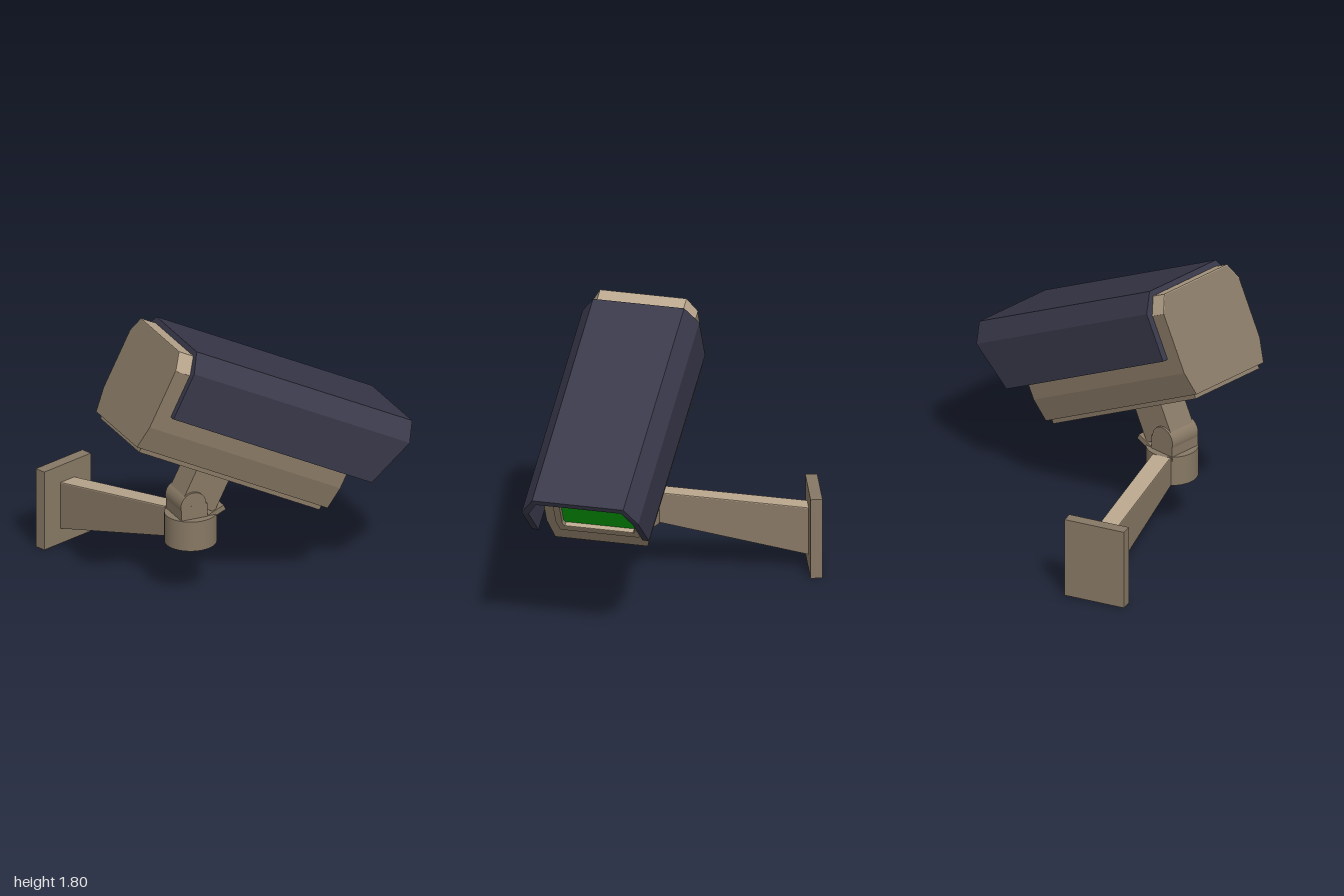
import * as THREE from 'three';

function paint(name, color) {
  const material = new THREE.MeshStandardMaterial({ color });
  material.name = name;
  return material;
}
const beige = paint('beige paint', 0x877864);
const paleBeige = paint('pale beige paint', 0xb9a68d);
const slate = paint('slate blue', 0x373749);
const green = paint('green glass', 0x049204);

function add(parent, name, geometry, material, x = 0, y = 0, z = 0) {
  const mesh = new THREE.Mesh(geometry, material);
  mesh.name = name;
  mesh.position.set(x, y, z);
  parent.add(mesh);
  return mesh;
}

// Mirrors a half outline [halfWidth, height] into a closed symmetric one
const mirrored = (half) => [
  ...half.map(([w, h]) => new THREE.Vector2(w, h)),
  ...half.slice().reverse().map(([w, h]) => new THREE.Vector2(-w, h)),
];

// Extrudes an outline along x, from x0 to x1; outline x points to -z
function extrudeX(points, x0, x1, hole) {
  const shape = new THREE.Shape(points);
  if (hole) shape.holes.push(new THREE.Path(hole));
  const g = new THREE.ExtrudeGeometry(shape, { depth: x1 - x0, bevelEnabled: false });
  g.rotateY(Math.PI / 2);
  g.translate(x0, 0, 0);
  return g;
}

// Solid or ring with a symmetric cross-section
const prism = (half, x0, x1, hole) => extrudeX(mirrored(half), x0, x1, hole && mirrored(hole));

// Folded sheet, open at the bottom
const sheet = (outer, inner, x0, x1) =>
  extrudeX([...mirrored(outer), ...mirrored(inner).reverse()], x0, x1);

// Sun shield: its side flaps are cut back at the front
function shieldGeometry() {
  const outer = [[0.378, 0.26], [0.378, 0.577], [0.295, 0.70]];
  const inner = [[0.337, 0.26], [0.337, 0.556], [0.275, 0.664]];
  const g = sheet(outer, inner, 0.11, 1.783);
  const p = g.attributes.position;
  for (let i = 0; i < p.count; i++) {
    const drop = Math.max(0, 0.577 - p.getY(i));
    if (p.getX(i) > 1) p.setX(i, p.getX(i) - drop * 0.42);
  }
  g.computeVertexNormals();
  return g;
}

const toPoints = (list) => list.map(([x, y]) => new THREE.Vector2(x, y));

export function createModel() {
  const root = new THREE.Group();
  root.name = 'securityCamera';

  // Wall bracket with a tapered arm and a pale top face
  const bracket = new THREE.Group();
  bracket.name = 'bracket';
  root.add(bracket);
  add(bracket, 'wallPlate', new THREE.BoxGeometry(0.41, 0.535, 0.075), beige, -0.42, 0.2675, -0.942);
  const armSide = [[0.91, 0.10], [0.91, 0.412], [-0.03, 0.548], [-0.15, 0.54], [-0.15, 0.36], [-0.03, 0.352]];
  const armTop = [[0.905, 0.411], [0.905, 0.418], [-0.02, 0.552], [-0.02, 0.545]];
  add(bracket, 'arm', extrudeX(toPoints(armSide), -0.48, -0.36), beige);
  add(bracket, 'armTop', extrudeX(toPoints(armTop), -0.48, -0.36), paleBeige);
  add(bracket, 'swivelBase', new THREE.CylinderGeometry(0.165, 0.165, 0.2, 40), beige, -0.417, 0.45, 0.187);

  // Camera head: local x runs forward, origin at the bottom of the rear face
  const head = new THREE.Group();
  head.name = 'cameraHead';
  head.position.set(-0.897, 1.21, 0.013);
  head.rotation.set(0, THREE.MathUtils.degToRad(-19.5), THREE.MathUtils.degToRad(-27), 'YZX');
  root.add(head);

  // Housing with front frame and recessed window
  const section = [[0.30, 0], [0.338, 0.155], [0.338, 0.55], [0.278, 0.66]];
  const opening = [[0.255, 0.085], [0.277, 0.16], [0.277, 0.53], [0.235, 0.61]];
  const pane = [[0.222, 0.122], [0.235, 0.145], [0.235, 0.51], [0.20, 0.575]];
  add(head, 'housing', prism(section, 0, 1.44), beige);
  add(head, 'frontFrame', prism(section, 1.44, 1.48, opening), beige);
  add(head, 'windowRim', prism(opening, 1.44, 1.488, pane), beige);
  add(head, 'window', prism(pane, 1.44, 1.456), green);
  add(head, 'windowSill', new THREE.BoxGeometry(0.032, 0.006, 0.44), paleBeige, 1.472, 0.125, 0);
  add(head, 'bottomPlate', new THREE.BoxGeometry(1.4, 0.03, 0.57), beige, 0.74, -0.015, 0);

  // Pale band over the rear top edge, then the shield
  const bandOuter = [[0.341, 0.551], [0.280, 0.663]];
  const bandInner = [[0.336, 0.549], [0.277, 0.657]];
  add(head, 'rearTopBand', sheet(bandOuter, bandInner, 0, 0.115), paleBeige);
  add(head, 'sunShield', shieldGeometry(), slate);

  // Tilting mount under the housing
  add(head, 'mountPlate', new THREE.BoxGeometry(0.36, 0.03, 0.28), beige, 0.73, -0.045, 0);
  add(head, 'neck', new THREE.BoxGeometry(0.25, 0.24, 0.2), beige, 0.73, -0.17, 0);
  const barrel = add(head, 'hingeBarrel', new THREE.CylinderGeometry(0.088, 0.088, 0.23, 24), beige, 0.685, -0.29, 0);
  barrel.rotation.x = Math.PI / 2;

  // Fixed half of the hinge on the swivel base
  const joint = new THREE.Group();
  joint.name = 'hingeJoint';
  joint.position.set(-0.44, 0.58, 0.175);
  joint.rotation.y = THREE.MathUtils.degToRad(-19.5);
  root.add(joint);
  add(joint, 'hingeBlock', new THREE.BoxGeometry(0.18, 0.12, 0.23), beige);
  const claw = add(joint, 'hingeClaw', new THREE.BoxGeometry(0.18, 0.035, 0.22), beige, 0.13, -0.03, 0);
  claw.rotation.z = 0.42;

  return root;
}
